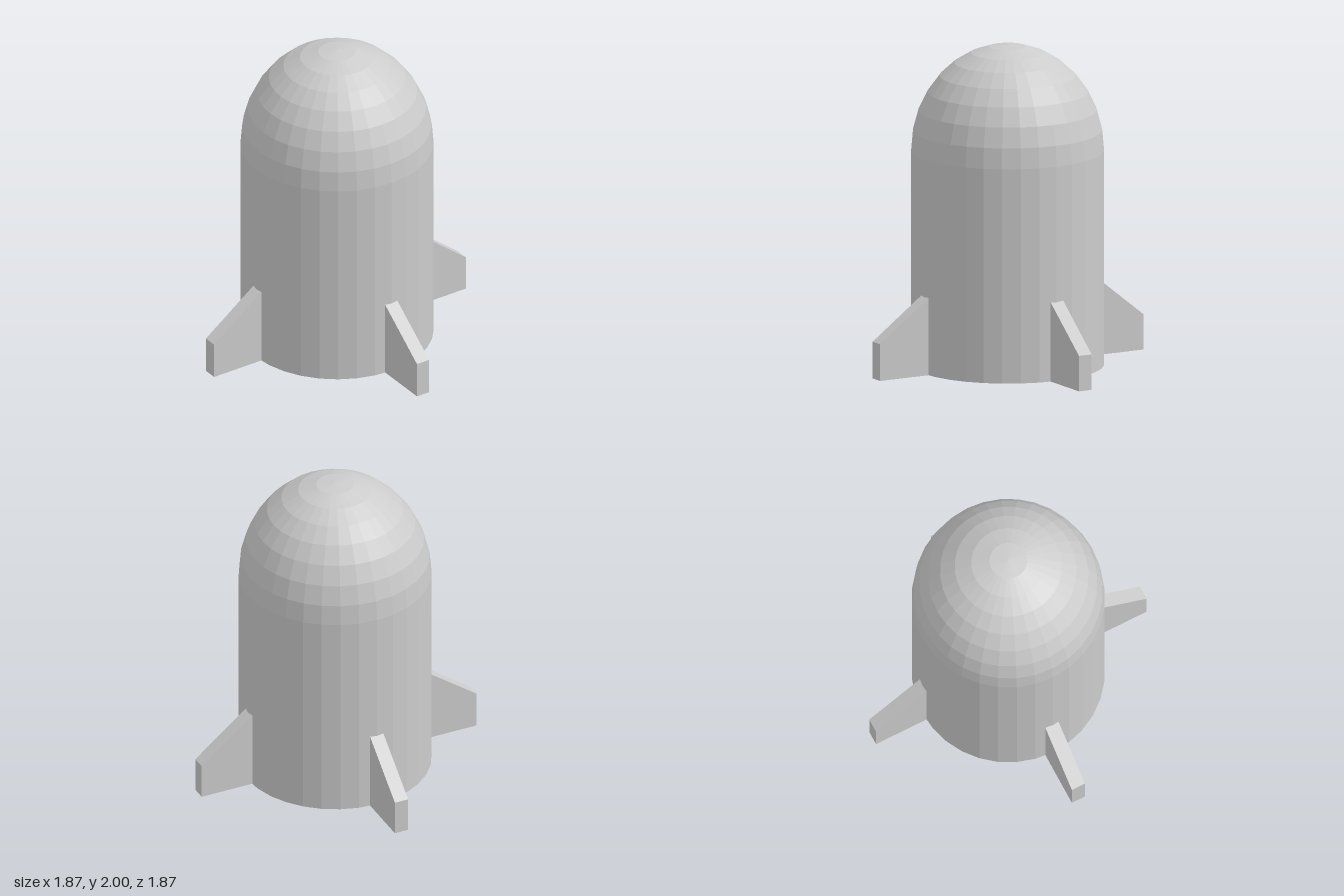
import * as THREE from 'three';

const material = new THREE.MeshStandardMaterial({ color: 0xcccccc, flatShading: true });
const RADIUS = 0.592, SHOULDER = 1.34, SIDES = 32;

function part(name, geometry) {
  const mesh = new THREE.Mesh(geometry, material);
  mesh.name = name;
  return mesh;
}

// Swept fin: sloping top edge, upright outer edge, root buried in the body
function finGeometry(rootHeight, tipHeight, thickness = 0.09) {
  const inner = 0.54, root = 0.59, tip = 0.935;
  const slope = (rootHeight - tipHeight) / (tip - root);
  const shape = new THREE.Shape([
    new THREE.Vector2(inner, 0),
    new THREE.Vector2(tip, 0),
    new THREE.Vector2(tip, tipHeight),
    new THREE.Vector2(inner, rootHeight + slope * (root - inner)),
  ]);
  return new THREE.ExtrudeGeometry(shape, { depth: thickness, bevelEnabled: false })
    .translate(0, 0, -thickness / 2);
}

export function createModel() {
  const model = new THREE.Group();
  model.name = 'rocket';

  // Straight hull with a flat base
  const hull = part('hull', new THREE.CylinderGeometry(RADIUS, RADIUS, SHOULDER, SIDES));
  hull.position.set(0.004, SHOULDER / 2, 0.002);
  model.add(hull);

  // Slightly stretched dome nose
  const dome = part('noseDome',
    new THREE.SphereGeometry(RADIUS, SIDES, 8, 0, Math.PI * 2, 0, Math.PI / 2));
  dome.scale.y = (2 - SHOULDER) / RADIUS;
  dome.position.set(0.004, SHOULDER, 0.002);
  model.add(dome);

  // Four fins around the base
  const fins = [
    ['leftFin', 0, 0.497, 0.222],
    ['backFin', 1, 0.497, 0.222],
    ['rightFin', 2, 0.483, 0.23],
    ['frontFin', 3, 0.483, 0.23],
  ];
  for (const [name, quarter, rootHeight, tipHeight] of fins) {
    const fin = part(name, finGeometry(rootHeight, tipHeight));
    fin.rotation.y = quarter * Math.PI / 2;
    if (quarter % 2) fin.position.x = 0.004;
    else fin.position.z = -0.003;
    model.add(fin);
  }
  return model;
}
